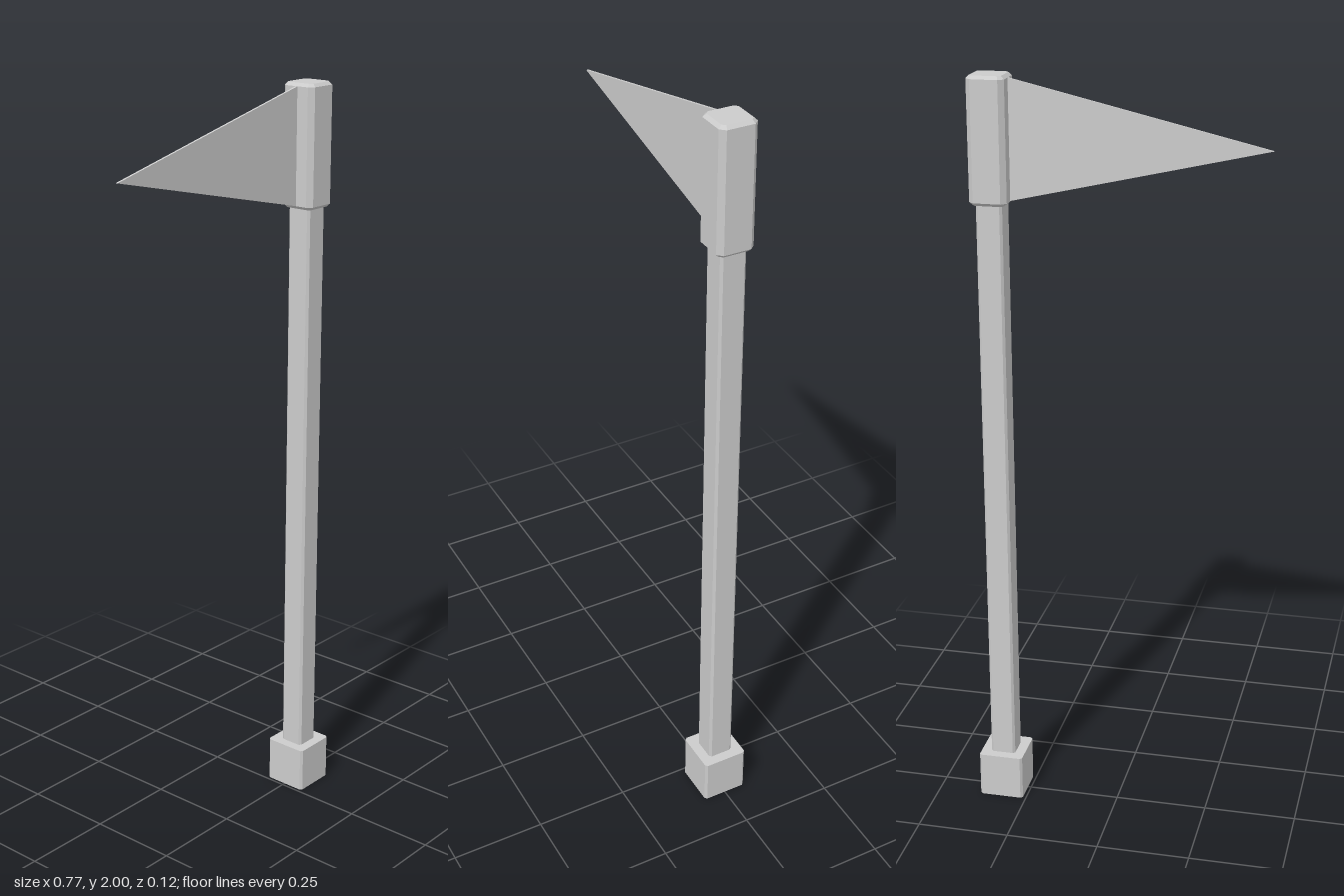
import * as THREE from 'three';

const POLE_X = 0.32;

// Square column with chamfered upright edges and optionally bevelled ends
function column(name, width, y0, y1, chamfer, bevel, material) {
  const h = width / 2, c = h - chamfer;
  const outline = [[h, -c], [h, c], [c, h], [-c, h], [-h, c], [-h, -c], [-c, -h], [c, -h]];
  const shape = new THREE.Shape(outline.map(([x, y]) => new THREE.Vector2(x, y)));
  const geometry = new THREE.ExtrudeGeometry(shape, {
    depth: y1 - y0 - 2 * bevel,
    bevelEnabled: bevel > 0,
    bevelSize: bevel,
    bevelThickness: bevel,
    bevelOffset: -bevel,
    bevelSegments: 1,
  });
  geometry.rotateX(-Math.PI / 2);
  const mesh = new THREE.Mesh(geometry, material);
  mesh.name = name;
  mesh.position.set(POLE_X, y0 + bevel, 0);
  return mesh;
}

export function createModel() {
  const group = new THREE.Group();
  group.name = 'pennantPole';
  const material = new THREE.MeshStandardMaterial({ color: 0xcccccc, flatShading: true });

  // Foot block, shaft and the sleeve that holds the pennant
  group.add(
    column('base', 0.122, 0, 0.125, 0.006, 0, material),
    column('pole', 0.068, 0.12, 1.69, 0.006, 0, material),
    column('sleeve', 0.097, 1.68, 2, 0.013, 0.008, material),
  );

  // Thin triangular pennant
  const thickness = 0.006;
  const triangle = new THREE.Shape([
    new THREE.Vector2(-0.385, 1.84),
    new THREE.Vector2(0.285, 1.685),
    new THREE.Vector2(0.285, 1.995),
  ]);
  const flagGeometry = new THREE.ExtrudeGeometry(triangle, { depth: thickness, bevelEnabled: false });
  flagGeometry.translate(0, 0, -thickness / 2 - 0.001);
  const flag = new THREE.Mesh(flagGeometry, material);
  flag.name = 'pennant';
  group.add(flag);

  return group;
}
